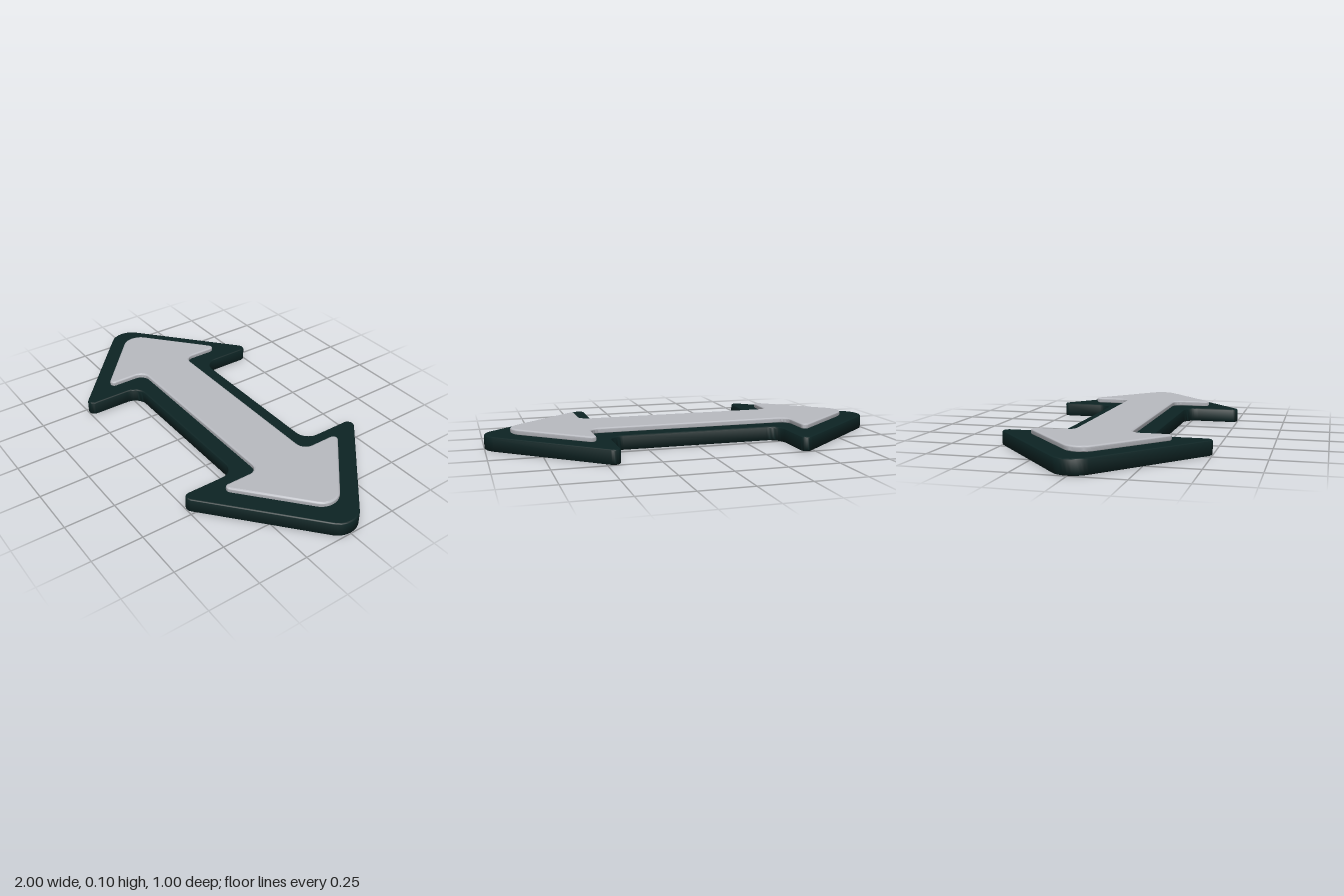
import * as THREE from 'three';
import { toCreasedNormals } from 'three/addons/utils/BufferGeometryUtils.js';

// Closed outline from corners [x, y, radius], each rounded by a true arc
function roundedOutline(corners, steps = 10) {
  const points = [];
  corners.forEach(([x, y, r], i) => {
    const p = new THREE.Vector2(x, y);
    const toward = (c) => new THREE.Vector2(c[0], c[1]).sub(p).normalize();
    const u = toward(corners.at(i - 1));
    const v = toward(corners[(i + 1) % corners.length]);
    const half = Math.acos(u.dot(v)) / 2;
    const reach = r / Math.tan(half);
    const center = u.clone().add(v).setLength(r / Math.sin(half)).add(p);
    const start = u.clone().multiplyScalar(reach).add(p).sub(center);
    const end = v.clone().multiplyScalar(reach).add(p).sub(center);
    const sweep = Math.atan2(start.cross(end), start.dot(end));
    for (let k = 0; k <= steps; k++) {
      points.push(start.clone().rotateAround(new THREE.Vector2(), (sweep * k) / steps).add(center));
    }
  });
  return new THREE.Shape(points);
}

// Double-headed arrow: one quarter mirrored to all four
function arrowShape({ tip, tipR, neck, barbR, shaft, filletR }) {
  const slope = 0.864;
  const barb = (tip - neck) * slope;
  const upperRight = [[neck, barb, barbR], [neck, shaft, filletR]];
  const upperLeft = upperRight.map(([x, y, r]) => [-x, y, r]).reverse();
  const upper = [[tip, 0, tipR], ...upperRight, ...upperLeft];
  const lower = upper.map(([x, y, r]) => [-x, -y, r]);
  return roundedOutline([...upper, ...lower]);
}

// Flat-lying slab with softly rounded rims and flat caps
function slab(name, shape, bottom, top, bevel, material) {
  const raw = new THREE.ExtrudeGeometry(shape, {
    depth: top - bottom - 2 * bevel,
    bevelSize: bevel,
    bevelThickness: bevel,
    bevelOffset: -bevel,
    bevelSegments: 4,
  });
  const caps = raw.groups[0];
  const geometry = toCreasedNormals(raw, 1);
  const { position, normal } = geometry.attributes;
  const middle = (top - bottom) / 2 - bevel;
  for (let i = caps.start; i < caps.start + caps.count; i++) {
    normal.setXYZ(i, 0, 0, position.getZ(i) > middle ? 1 : -1);
  }
  geometry.clearGroups();
  geometry.rotateX(-Math.PI / 2);
  geometry.translate(0, bottom + bevel, 0);
  const mesh = new THREE.Mesh(geometry, material);
  mesh.name = name;
  return mesh;
}

export function createModel() {
  const darkGreen = new THREE.MeshStandardMaterial({ color: 0x0d2424 });
  darkGreen.name = 'dark green';
  const lightGrey = new THREE.MeshStandardMaterial({ color: 0xb9bbc1 });
  lightGrey.name = 'light grey';

  const baseShape = arrowShape({
    tip: 1.055, tipR: 0.104, neck: 0.435, barbR: 0.03, shaft: 0.217, filletR: 0.07,
  });
  const faceShape = arrowShape({
    tip: 0.924, tipR: 0.09, neck: 0.512, barbR: 0.022, shaft: 0.137, filletR: 0.05,
  });

  const model = new THREE.Group();
  model.name = 'doubleArrow';
  model.add(
    slab('arrowBase', baseShape, 0, 0.071, 0.008, darkGreen),
    slab('arrowFace', faceShape, 0.071, 0.098, 0.011, lightGrey),
  );
  return model;
}
